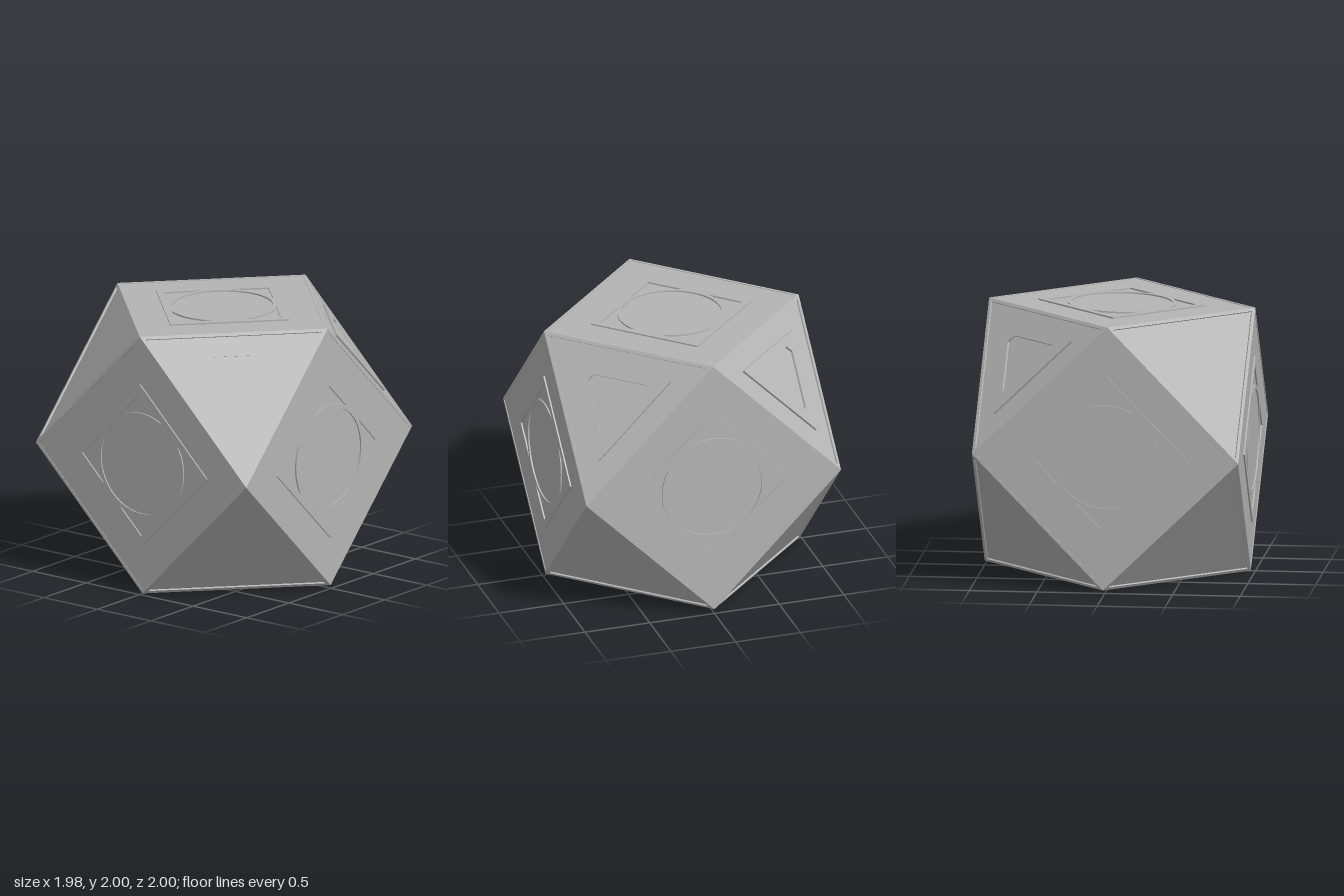
import * as THREE from 'three';

const A = 0.983;                      // half size of the solid
const TRI_R = A * Math.SQRT2 / Math.sqrt(3);
const SQUARE_RECESS = 0.004, TRI_RECESS = 0.013;

const stone = new THREE.MeshStandardMaterial({ color: 0xb4b4b4 });
stone.name = 'plain grey';

// Regular polygon corners, first corner at the given angle
const ngon = (n, r, start) => Array.from({ length: n }, (_, i) => {
  const t = start + i * 2 * Math.PI / n;
  return new THREE.Vector2(r * Math.cos(t), r * Math.sin(t));
});
const diamond = r => ngon(4, r, 0);
const triangle = r => ngon(3, r, -Math.PI / 2);

// Triangle with its corners cut off
function cutTriangle(r, cut) {
  const p = triangle(r);
  return p.flatMap((c, i) => [
    c.clone().lerp(p[(i + 2) % 3], cut),
    c.clone().lerp(p[(i + 1) % 3], cut),
  ]);
}

// Corner pocket between an inner diamond and the round rim
function cornerPocket(turn) {
  const tip = new THREE.Vector2(0.545, 0);
  const arc = [];
  for (let i = 0; i <= 12; i++) {
    const t = -Math.PI / 6 + i * Math.PI / 36;
    arc.push(new THREE.Vector2(0.4 * Math.cos(t), 0.4 * Math.sin(t)));
  }
  return [tip, ...arc.reverse()].map(p => p.clone().rotateAround(new THREE.Vector2(), turn));
}

// Plate with holes, from height z0 up to z1
function plate(name, outline, holes, z0, z1) {
  const shape = new THREE.Shape(outline);
  shape.holes = holes.map(h => new THREE.Path(h));
  const geo = new THREE.ExtrudeGeometry(shape, { depth: z1 - z0, bevelEnabled: false });
  geo.translate(0, 0, z0);
  const mesh = new THREE.Mesh(geo, stone);
  mesh.name = name;
  return mesh;
}

function panel(name, outline, z) {
  const mesh = new THREE.Mesh(new THREE.ShapeGeometry(new THREE.Shape(outline)), stone);
  mesh.position.z = z;
  mesh.name = name;
  return mesh;
}

// Square side: edge rim, panel and raised frame around a round well
function squareFace() {
  const face = new THREE.Group();
  face.name = 'squareFace';
  const inner = diamond(A * (1 - 0.02 / 0.695));
  const pockets = [0, 1, 2, 3].map(i => cornerPocket(i * Math.PI / 2));
  face.add(
    plate('squareRim', diamond(A), [inner], -SQUARE_RECESS, 0),
    panel('squarePanel', inner, -SQUARE_RECESS),
    plate('roundWellFrame', diamond(0.62), [ngon(64, 0.37, 0), ...pockets], -SQUARE_RECESS, 0.007),
  );
  return face;
}

// Triangular side: edge rim and sunken panel, with an optional raised frame or bar
function triangleFace(framed, barred) {
  const face = new THREE.Group();
  face.name = 'triangleFace';
  const inner = triangle(TRI_R - 0.05);
  face.add(
    plate('triangleRim', triangle(TRI_R), [inner], -TRI_RECESS, 0),
    panel('trianglePanel', inner, -TRI_RECESS),
  );
  if (framed) {
    face.add(plate('triangleFrame', triangle(TRI_R * 0.57),
      [cutTriangle(TRI_R * 0.41, 0.115)], -TRI_RECESS, 0.003));
  }
  if (barred) {
    const bar = new THREE.Mesh(new THREE.BoxGeometry(0.31, 0.006, 0.006), stone);
    bar.position.set(0, 0.225, -TRI_RECESS);
    bar.name = 'thinBar';
    face.add(bar);
  }
  return face;
}

// Stand a face on the solid from its outward normal and up direction
function place(face, up, normal, distance) {
  const n = normal.normalize(), v = up.normalize();
  const u = new THREE.Vector3().crossVectors(v, n);
  face.quaternion.setFromRotationMatrix(new THREE.Matrix4().makeBasis(u, v, n));
  face.position.copy(n).multiplyScalar(distance);
  return face;
}

export function createModel() {
  const model = new THREE.Group();
  model.name = 'panelledSolid';
  const body = new THREE.Group();
  body.name = 'body';
  const V = (x, y, z) => new THREE.Vector3(x, y, z);

  for (const s of [-1, 1]) {
    body.add(place(squareFace(), V(0, 1, 0), V(s, 0, 0), A));
    body.add(place(squareFace(), V(0, 0, 1), V(0, s, 0), A));
    body.add(place(squareFace(), V(0, 1, 0), V(0, 0, s), A));
  }

  for (const sx of [-1, 1]) for (const sy of [-1, 1]) for (const sz of [-1, 1]) {
    const face = triangleFace(sy > 0 && sz < 0, sx > 0 && sy > 0 && sz > 0);
    body.add(place(face, V(-sx, 2 * sy, -sz), V(sx, sy, sz), 2 * A / Math.sqrt(3)));
  }

  // Slight backward lean
  body.rotation.x = 0.017;
  body.position.y = 1;
  model.add(body);
  return model;
}
